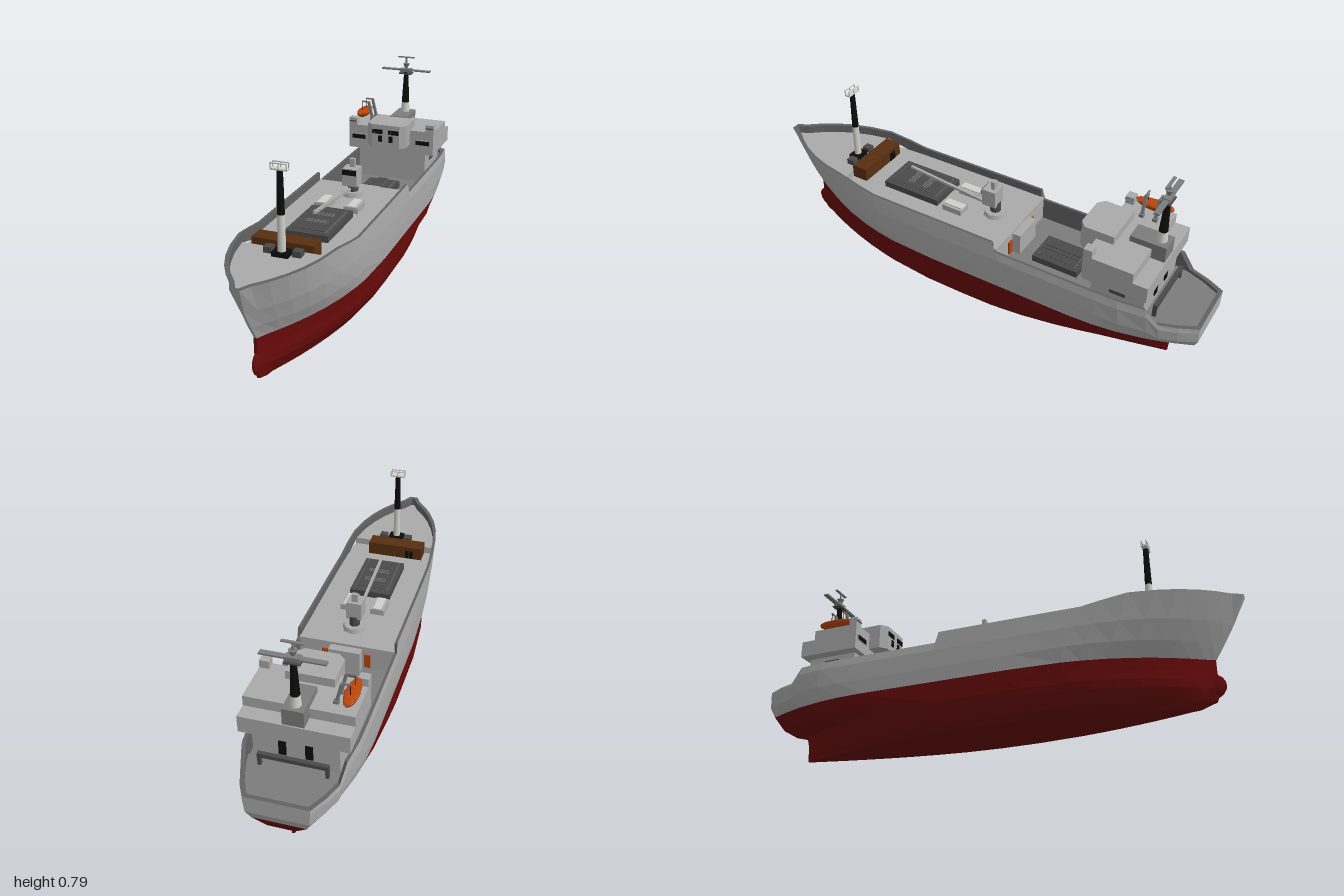
import * as THREE from 'three';

const mat = (name, color) => new THREE.MeshStandardMaterial({ name, color });
const M = {
  grey: mat('hull grey', 0xaaaaaa), deck: mat('deck grey', 0x7c7c7c), rim: mat('bulwark grey', 0x626262),
  dark: mat('hatch grey', 0x4a4a4a), red: mat('antifouling red', 0x680a0a), black: mat('black', 0x0c0c0c),
  white: mat('white', 0xd0d0cc), brown: mat('container brown', 0x582f10), orange: mat('lifeboat orange', 0xb8460c),
};

export function createModel() {
  const ship = new THREE.Group();
  ship.name = 'cargoShip';

  const add = (name, geo, m, x = 0, y = 0, z = 0) => {
    const mesh = new THREE.Mesh(geo, m);
    mesh.name = name;
    mesh.position.set(x, y, z);
    ship.add(mesh);
    return mesh;
  };
  // Box given by its limits on each axis
  const box = (name, m, x0, x1, y0, y1, z0, z1) =>
    add(name, new THREE.BoxGeometry(x1 - x0, y1 - y0, z1 - z0), m, (x0 + x1) / 2, (y0 + y1) / 2, (z0 + z1) / 2);
  const pair = (name, m, x0, x1, ...r) => {
    box(name + 'Left', m, x0, x1, ...r);
    box(name + 'Right', m, -x1, -x0, ...r);
  };
  const cyl = (name, m, rTop, rBottom, y0, y1, x, z, sides = 12) =>
    add(name, new THREE.CylinderGeometry(rTop, rBottom, y1 - y0, sides), m, x, (y0 + y1) / 2, z);
  const beam = (name, m, a, b, w) => {
    const p = new THREE.Vector3(...a), q = new THREE.Vector3(...b);
    const mesh = add(name, new THREE.BoxGeometry(w, w, p.distanceTo(q)), m);
    mesh.position.copy(p).lerp(q, 0.5);
    mesh.lookAt(q);
  };
  const flat = (pos, idx) => {
    const g = new THREE.BufferGeometry();
    g.setAttribute('position', new THREE.Float32BufferAttribute(pos, 3));
    g.setIndex(idx);
    const f = g.toNonIndexed();
    f.computeVertexNormals();
    return f;
  };
  // Skin over closed rings of equal point count
  const loft = (rings) => {
    const n = rings[0].length, idx = [];
    for (let j = 0; j < rings.length - 1; j++) for (let i = 0; i < n; i++) {
      const k = (i + 1) % n, a = j * n + i, b = j * n + k, c = b + n, d = a + n;
      idx.push(a, d, c, a, c, b);
    }
    return flat(rings.flat(2), idx);
  };

  // Hull: sheer line and waterlines
  const stations = [-1, -0.93, -0.86, -0.81, -0.7, -0.6, -0.48, -0.33, -0.172, -0.168, 0, 0.2, 0.42, 0.5, 0.6, 0.7, 0.78, 0.85, 0.91, 0.96, 1];
  const sheer = [[-1, 0.295], [-0.86, 0.295], [-0.81, 0.355], [-0.172, 0.355], [-0.168, 0.4], [0.42, 0.4], [0.6, 0.43], [1, 0.43]];
  const top = (z) => {
    let i = 0;
    while (i < sheer.length - 2 && z > sheer[i + 1][0]) i++;
    const [a, ya] = sheer[i], [b, yb] = sheer[i + 1];
    return ya + (yb - ya) * (z - a) / (b - a);
  };
  // zb/zs bow and stern ends, w half width, Lb/pb bow taper, Ls/ps/ws stern taper
  const half = (l, z) => {
    const u = Math.max(0, (z - l.zb + l.Lb) / l.Lb), v = Math.max(0, (l.zs + l.Ls - z) / l.Ls);
    return Math.max(l.we, l.w * (1 - u ** l.pb) - (l.w - l.ws) * v ** l.ps);
  };
  const line = (zb, zs, w, Lb, pb, Ls, ps, ws, we = 0.005) => ({ zb, zs, w, Lb, pb, Ls, ps, ws, we });
  const ring = (l, yAt, inset = 0) => {
    const side = stations.map((s) => {
      const z = l.zs + (s + 1) / 2 * (l.zb - l.zs);
      return [Math.max(0.003, half(l, z) - inset), yAt(s), z * (1 - inset * 1.5)];
    });
    return [...side, ...side.slice().reverse().map(([x, y, z]) => [-x, y, z])];
  };
  const water = line(0.87, -0.985, 0.207, 0.75, 2.4, 0.5, 2.2, 0.1);
  const rail = line(1, -1, 0.205, 0.8, 4, 0.4, 2.8, 0.12, 0.018);
  const bottom = ring(line(0.8, -0.86, 0.135, 0.8, 2, 0.8, 1.6, 0.004), () => 0.003);
  add('lowerHull', loft([
    bottom,
    ring(line(0.86, -0.861, 0.172, 0.78, 2.1, 0.78, 1.7, 0.005), () => 0.025),
    ring(line(0.88, -0.865, 0.2, 0.76, 2.2, 0.72, 1.8, 0.006), () => 0.075),
    ring(line(0.875, -0.87, 0.205, 0.75, 2.3, 0.65, 1.9, 0.01), () => 0.105),
    ring(line(0.87, -0.965, 0.206, 0.75, 2.3, 0.58, 2, 0.05), () => 0.14),
    ring(water, () => 0.187),
  ]), M.red);
  const n = stations.length, keel = [];
  for (let i = 0; i < n - 1; i++) {
    const a = i, b = i + 1, c = 2 * n - 2 - i, d = 2 * n - 1 - i;
    keel.push(a, b, c, a, c, d);
  }
  add('flatBottom', flat(bottom.flat(), keel), M.red);
  add('bulbousBow', new THREE.SphereGeometry(1, 12, 10).scale(0.015, 0.055, 0.07), M.red, 0, 0.085, 0.83);

  const upTo = (f) => (s) => 0.187 + f * (Math.min(top(s), 0.355) - 0.187);
  const innerFoot = (s) => (s < -0.17 ? 0.255 : s < 0.6 ? 0.36 : 0.39);
  add('upperHull', loft([
    ring(water, () => 0.187),
    ring(line(0.907, -1, 0.21, 0.76, 2.9, 0.42, 2.6, 0.115), upTo(0.35)),
    ring(line(0.95, -1, 0.21, 0.78, 3.4, 0.4, 2.8, 0.12), upTo(0.8)),
    ring(rail, top),
  ]), M.grey);
  add('bulwarkLining', loft([ring(rail, top), ring(rail, top, 0.011), ring(rail, innerFoot, 0.011)]), M.rim);

  // Deck levels with bulkheads at the steps
  const deck = (name, m, z0, z1, y) => {
    const zs = [z0, ...stations.filter((s) => s > z0 && s < z1), z1], pos = [], idx = [];
    zs.forEach((z, i) => {
      const w = half(rail, z) - 0.008;
      pos.push(w, y, z * 0.984, -w, y, z * 0.984);
      if (i) idx.push(2 * i - 2, 2 * i - 1, 2 * i + 1, 2 * i - 2, 2 * i + 1, 2 * i);
    });
    add(name, flat(pos, idx), m);
  };
  deck('aftDeck', M.deck, -0.82, -0.17, 0.26);
  deck('sternDeck', M.deck, -1, -0.8, 0.28);
  deck('mainDeck', M.grey, -0.178, 0.61, 0.365);
  deck('foreDeck', M.grey, 0.605, 1, 0.395);
  box('mainBulkhead', M.grey, -0.195, 0.195, 0.25, 0.364, -0.18, -0.17);
  box('foreBulkhead', M.grey, -0.183, 0.183, 0.355, 0.394, 0.596, 0.606);
  box('stairHousing', M.grey, -0.065, 0.065, 0.26, 0.353, -0.215, -0.175);
  pair('bulkheadDoor', M.orange, 0.075, 0.1, 0.27, 0.33, -0.186, -0.18);

  // Cargo hatches
  const hatch = (name, w, y, z0, z1) => {
    box(name + 'Coaming', M.dark, -w, w, y, y + 0.027, z0, z1);
    box(name + 'Cover', M.rim, -w + 0.016, w - 0.016, y + 0.02, y + 0.031, z0 + 0.018, z1 - 0.018);
    box(name + 'Panel', M.dark, -w + 0.02, w - 0.02, y + 0.025, y + 0.034, z0 + 0.022, z1 - 0.022);
  };
  hatch('foreHatch', 0.087, 0.365, 0.17, 0.435);
  hatch('aftHatch', 0.072, 0.26, -0.475, -0.275);
  for (let i = 0; i < 6; i++) {
    const z = (i < 3 ? 0.25 : 0.32) + (i % 3) * 0.01;
    box('hatchLine', M.deck, -0.045, 0.045, 0.398, 0.401, z, z + 0.003);
  }
  box('hatchRidge', M.rim, -0.024, 0.024, 0.29, 0.297, -0.46, -0.29);
  pair('hatchRib', M.dark, 0.003, 0.02, 0.295, 0.301, -0.457, -0.293);

  // Deck cargo
  box('containerRight', M.brown, -0.144, -0.023, 0.365, 0.422, 0.525, 0.594);
  box('containerLeft', M.brown, -0.021, 0.1, 0.365, 0.422, 0.525, 0.594);
  for (const x of [-0.105, -0.085]) box('containerDoor', M.black, x, x + 0.015, 0.368, 0.405, 0.521, 0.526);
  pair('deckLocker', M.grey, 0.035, 0.093, 0.365, 0.39, 0.05, 0.14);
  pair('lockerLid', M.white, 0.047, 0.081, 0.388, 0.394, 0.052, 0.138);

  // Deck crane
  cyl('craneBase', M.grey, 0.045, 0.05, 0.365, 0.383, 0, -0.06, 8);
  cyl('cranePedestal', M.dark, 0.022, 0.022, 0.38, 0.425, 0, -0.06);
  box('craneCab', M.grey, -0.032, 0.032, 0.415, 0.49, -0.076, -0.015);
  for (let i = 0; i < 4; i++) box('craneWindow', M.black, -0.03 + i * 0.0155, -0.0165 + i * 0.0155, 0.464, 0.486, -0.015, -0.011);
  box('craneHead', M.grey, -0.012, 0.012, 0.49, 0.525, -0.062, -0.046);
  beam('craneBoom', M.grey, [0, 0.402, -0.02], [0, 0.443, 0.355], 0.011);

  // Fore mast with lamp cage
  box('foreMastFoot', M.black, -0.032, 0.032, 0.395, 0.412, 0.62, 0.668);
  pair('winch', M.dark, 0.04, 0.072, 0.395, 0.418, 0.615, 0.648);
  cyl('foreMastLower', M.white, 0.014, 0.015, 0.4, 0.55, 0, 0.644);
  cyl('foreMastUpper', M.black, 0.011, 0.014, 0.55, 0.715, 0, 0.644);
  box('cageFloor', M.white, -0.032, 0.032, 0.712, 0.718, 0.632, 0.656);
  for (const z of [0.634, 0.654]) {
    box('cageRail', M.white, -0.032, 0.032, 0.735, 0.739, z - 0.002, z + 0.002);
    for (const x of [-0.03, 0, 0.03]) box('cagePost', M.white, x - 0.002, x + 0.002, 0.715, 0.739, z - 0.002, z + 0.002);
  }

  // Superstructure
  box('lowerHouse', M.grey, -0.16, 0.16, 0.255, 0.402, -0.79, -0.575);
  pair('sideOpening', M.dark, 0.16, 0.163, 0.345, 0.381, -0.715, -0.65);
  pair('rearDoor', M.black, 0.035, 0.063, 0.315, 0.375, -0.794, -0.79);
  box('upperHouse', M.grey, -0.203, 0.203, 0.4, 0.51, -0.75, -0.55);
  box('rearLedge', M.grey, -0.203, 0.203, 0.4, 0.468, -0.81, -0.75);
  pair('wingLocker', M.grey, 0.165, 0.203, 0.51, 0.542, -0.585, -0.55);
  pair('wingStripe', M.dark, 0.167, 0.201, 0.524, 0.529, -0.55, -0.547);
  pair('windowFrame', M.grey, 0.115, 0.192, 0.443, 0.468, -0.55, -0.547);
  pair('frontWindow', M.black, 0.122, 0.185, 0.446, 0.465, -0.55, -0.545);
  const plan = new THREE.Shape([[-0.092, 0.62], [0.092, 0.62], [0.092, 0.5], [0.065, 0.475], [-0.065, 0.475], [-0.092, 0.5]]
    .map(([x, y]) => new THREE.Vector2(x, y)));
  add('bridge', new THREE.ExtrudeGeometry(plan, { depth: 0.105, bevelEnabled: false }).rotateX(-Math.PI / 2), M.grey, 0, 0.44, 0);
  for (let i = 0; i < 4; i++) pair('bridgeWindow', M.black, 0.014 + i * 0.0125, 0.025 + i * 0.0125, 0.503, 0.523, -0.475, -0.472);
  pair('bridgeLowerWindow', M.black, 0.016, 0.034, 0.466, 0.495, -0.475, -0.472);

  // Aft mast with radar
  box('mastPlinth', M.deck, -0.04, 0.04, 0.46, 0.535, -0.805, -0.66);
  cyl('aftMastLower', M.white, 0.018, 0.022, 0.53, 0.58, 0, -0.77);
  cyl('aftMastUpper', M.black, 0.01, 0.018, 0.58, 0.725, 0, -0.77);
  box('radarPlatform', M.dark, -0.03, 0.03, 0.717, 0.722, -0.79, -0.75);
  box('radarHub', M.deck, -0.027, 0.027, 0.726, 0.741, -0.785, -0.757);
  box('yard', M.deck, -0.117, 0.117, 0.731, 0.737, -0.783, -0.761);
  cyl('radarCone', M.deck, 0.016, 0.007, 0.745, 0.765, 0, -0.77, 8);
  cyl('radarPole', M.deck, 0.004, 0.004, 0.74, 0.794, 0, -0.77, 6);
  box('radarBar', M.deck, -0.04, 0.04, 0.793, 0.797, -0.776, -0.764);

  // Lifeboat and davits on the right side
  add('lifeboat', new THREE.SphereGeometry(1, 12, 8, 0, Math.PI * 2, Math.PI / 2, Math.PI / 2).scale(0.028, 0.03, 0.08), M.orange, -0.17, 0.55, -0.67);
  add('lifeboatCover', new THREE.SphereGeometry(1, 12, 4, 0, Math.PI * 2, 0, Math.PI / 2).scale(0.027, 0.006, 0.078), M.orange, -0.17, 0.55, -0.67);
  for (const z of [-0.64, -0.695]) {
    box('davitFoot', M.deck, -0.13, -0.11, 0.51, 0.522, z - 0.009, z + 0.009);
    beam('davitPost', M.deck, [-0.12, 0.515, z], [-0.14, 0.598, z], 0.011);
    beam('davitArm', M.deck, [-0.137, 0.598, z], [-0.172, 0.598, z], 0.006);
    beam('davitFall', M.black, [-0.17, 0.598, z], [-0.17, 0.55, z], 0.002);
  }

  // Stern gantry
  box('gantryBeam', M.dark, -0.13, 0.13, 0.318, 0.334, -0.832, -0.815);
  pair('gantryLeg', M.dark, 0.118, 0.13, 0.28, 0.32, -0.83, -0.815);
  return ship;
}
